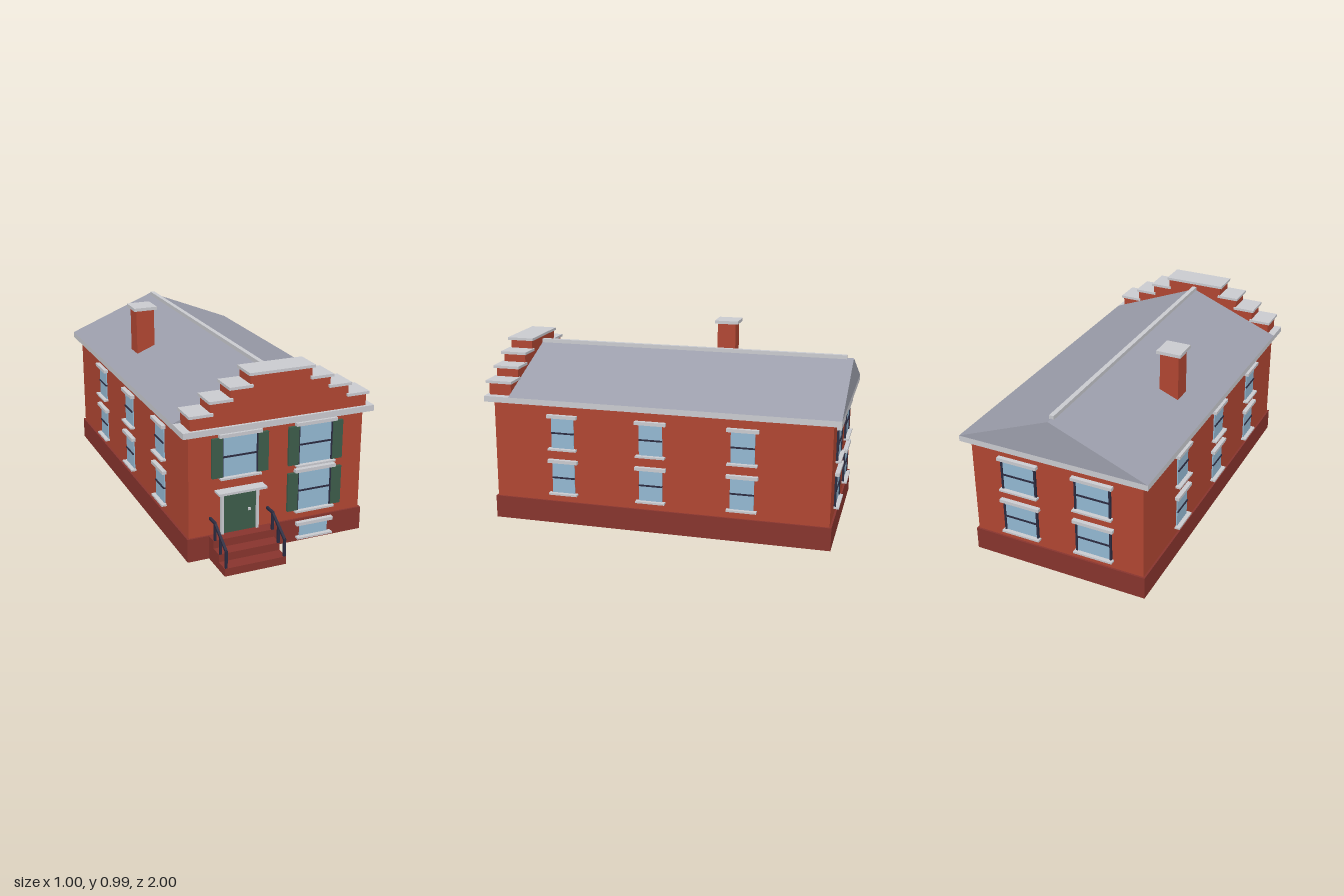
import * as THREE from 'three';

const mat = (name, color) => {
  const m = new THREE.MeshStandardMaterial({ color });
  m.name = name;
  return m;
};

export function createModel() {
  const brick = mat('brick', 0xb04632);
  const darkBrick = mat('dark brick', 0x87342d);
  const stone = mat('pale stone', 0xc9cacf);
  const slate = mat('slate', 0x9c9eab);
  const glass = mat('glass', 0x93b8d2);
  const green = mat('green paint', 0x3d5c4a);
  const iron = mat('dark iron', 0x2b2b40);

  const house = new THREE.Group();
  house.name = 'house';

  // Box given by its lower and upper limits on each axis
  const box = (parent, name, m, x0, x1, y0, y1, z0, z1) => {
    const mesh = new THREE.Mesh(new THREE.BoxGeometry(x1 - x0, y1 - y0, z1 - z0), m);
    mesh.position.set((x0 + x1) / 2, (y0 + y1) / 2, (z0 + z1) / 2);
    mesh.name = name;
    parent.add(mesh);
    return mesh;
  };

  // Outline in x, y pushed along z
  const prism = (name, m, points, z0, z1) => {
    const shape = new THREE.Shape(points.map(([x, y]) => new THREE.Vector2(x, y)));
    const geo = new THREE.ExtrudeGeometry(shape, { depth: z1 - z0, bevelEnabled: false });
    const mesh = new THREE.Mesh(geo, m);
    mesh.position.z = z0;
    mesh.name = name;
    house.add(mesh);
  };

  // Body
  box(house, 'foundation', darkBrick, -0.47, 0.47, 0, 0.12, -0.97, 0.81);
  box(house, 'walls', brick, -0.46, 0.46, 0.12, 0.645, -0.96, 0.8);
  box(house, 'cornice', stone, -0.5, 0.5, 0.645, 0.675, -1, 0.84);

  // Roof and ridge
  prism('roof', slate, [[-0.5, 0.675], [0.5, 0.675], [0, 0.875]], -1, 0.705);
  box(house, 'ridgeCap', stone, -0.012, 0.012, 0.865, 0.89, -0.965, 0.705);

  // Stepped parapet with coping stones
  const steps = [[0.46, 0.737], [0.36, 0.795], [0.26, 0.85], [0.16, 0.907]];
  const half = [[0.46, 0.675]];
  steps.forEach(([x, y], i) => {
    half.push([x, y]);
    if (i < 3) half.push([steps[i + 1][0], y]);
  });
  const mirrored = half.map(([x, y]) => [-x, y]).reverse();
  prism('parapet', brick, [...half, ...mirrored], 0.705, 0.825);
  steps.forEach(([x, y], i) => {
    if (i === 3) {
      box(house, 'topCoping', stone, -0.17, 0.17, y, y + 0.014, 0.697, 0.84);
      return;
    }
    for (const s of [-1, 1]) {
      const c = s * (x - 0.05);
      box(house, 'coping', stone, c - 0.06, c + 0.06, y, y + 0.014, 0.697, 0.84);
    }
  });

  // Chimney
  box(house, 'chimney', brick, -0.35, -0.25, 0.7, 0.975, -0.33, -0.23);
  box(house, 'chimneyCap', stone, -0.365, -0.237, 0.975, 0.992, -0.346, -0.216);

  // Window facing +z, with its sill top at y0 and its lintel foot at y1
  const addWindow = (x, y0, y1, z, turn, w, o = {}) => {
    const g = new THREE.Group();
    g.name = 'window';
    box(g, 'pane', glass, -w, w, y0, y1, -0.004, 0.006);
    const lw = w + (o.lintel ?? 0.02);
    box(g, 'lintel', stone, -lw, lw, y1, y1 + 0.017, -0.005, 0.023);
    box(g, 'sill', stone, -lw + 0.004, lw - 0.004, y0 - 0.01, y0, -0.005, 0.027);
    if (o.bar !== false) {
      const mid = (y0 + y1) / 2;
      box(g, 'sashBar', iron, -w, w, mid - 0.004, mid + 0.004, 0, 0.011);
    }
    for (const s of [-1, 1]) {
      if (o.jambs) {
        const c = s * (w + 0.001);
        box(g, 'jamb', iron, c - 0.005, c + 0.005, y0, y1, -0.004, 0.011);
      }
      if (o.shutters) {
        const c = s * 0.119;
        box(g, 'shutter', green, c - 0.027, c + 0.027, y0 + 0.001, y1 - 0.002, -0.004, 0.015);
      }
    }
    g.position.set(x, 0, z.at ?? z);
    g.rotation.y = turn;
    house.add(g);
  };

  // Front windows and the cellar window
  const front = { jambs: true, shutters: true };
  addWindow(-0.2, 0.413, 0.615, 0.8, 0, 0.09, front);
  addWindow(0.2, 0.413, 0.615, 0.8, 0, 0.09, front);
  addWindow(0.2, 0.17, 0.373, 0.8, 0, 0.09, front);
  addWindow(0.2, 0.029, 0.091, 0.81, 0, 0.077, { bar: false, lintel: 0.023 });

  // Side and back windows on two floors
  for (const [y0, y1] of [[0.413, 0.575], [0.17, 0.334]]) {
    for (const s of [-1, 1]) {
      for (const z of [0.425, -0.047, -0.52]) {
        addWindow(s * 0.46, y0, y1, z, s * Math.PI / 2, 0.061);
      }
      addWindow(s * 0.2, y0, y1, -0.96, Math.PI, 0.09, { jambs: true, lintel: 0.018 });
    }
  }

  // Door with its surround
  const door = new THREE.Group();
  door.name = 'door';
  house.add(door);
  box(door, 'doorPanel', green, -0.288, -0.115, 0.12, 0.322, 0.795, 0.81);
  box(door, 'doorJamb', stone, -0.3, -0.287, 0.12, 0.338, 0.795, 0.82);
  box(door, 'doorJamb', stone, -0.116, -0.103, 0.12, 0.338, 0.795, 0.82);
  box(door, 'doorHead', stone, -0.287, -0.116, 0.322, 0.338, 0.795, 0.82);
  box(door, 'doorHood', stone, -0.327, -0.078, 0.338, 0.35, 0.795, 0.856);
  box(door, 'doorKnob', stone, -0.158, -0.146, 0.222, 0.234, 0.81, 0.82);

  // Front steps
  [[0, 0.04, 1], [0.04, 0.08, 0.93], [0.08, 0.12, 0.865]].forEach(([y0, y1, z]) =>
    box(house, 'step', darkBrick, -0.36, -0.043, y0, y1, 0.8, z));

  // Handrails: three posts, a sloping rail and a level rail each
  for (const x of [-0.351, -0.05]) {
    const rail = new THREE.Group();
    rail.name = 'handrail';
    house.add(rail);
    const r = 0.006;
    [[0.993, 0.04, 0.13], [0.927, 0.08, 0.17], [0.862, 0.12, 0.21]].forEach(([z, y0, y1]) =>
      box(rail, 'post', iron, x - r, x + r, y0, y1, z - r, z + r));
    const slope = box(rail, 'slopingRail', iron, x - r, x + r, 0.162, 0.174, 0.85, 1.005);
    slope.position.z = 0.9275;
    slope.rotation.x = Math.atan2(0.08, 0.131);
    box(rail, 'levelRail', iron, x - r, x + r, 0.203, 0.215, 0.8, 0.868);
  }

  return house;
}
